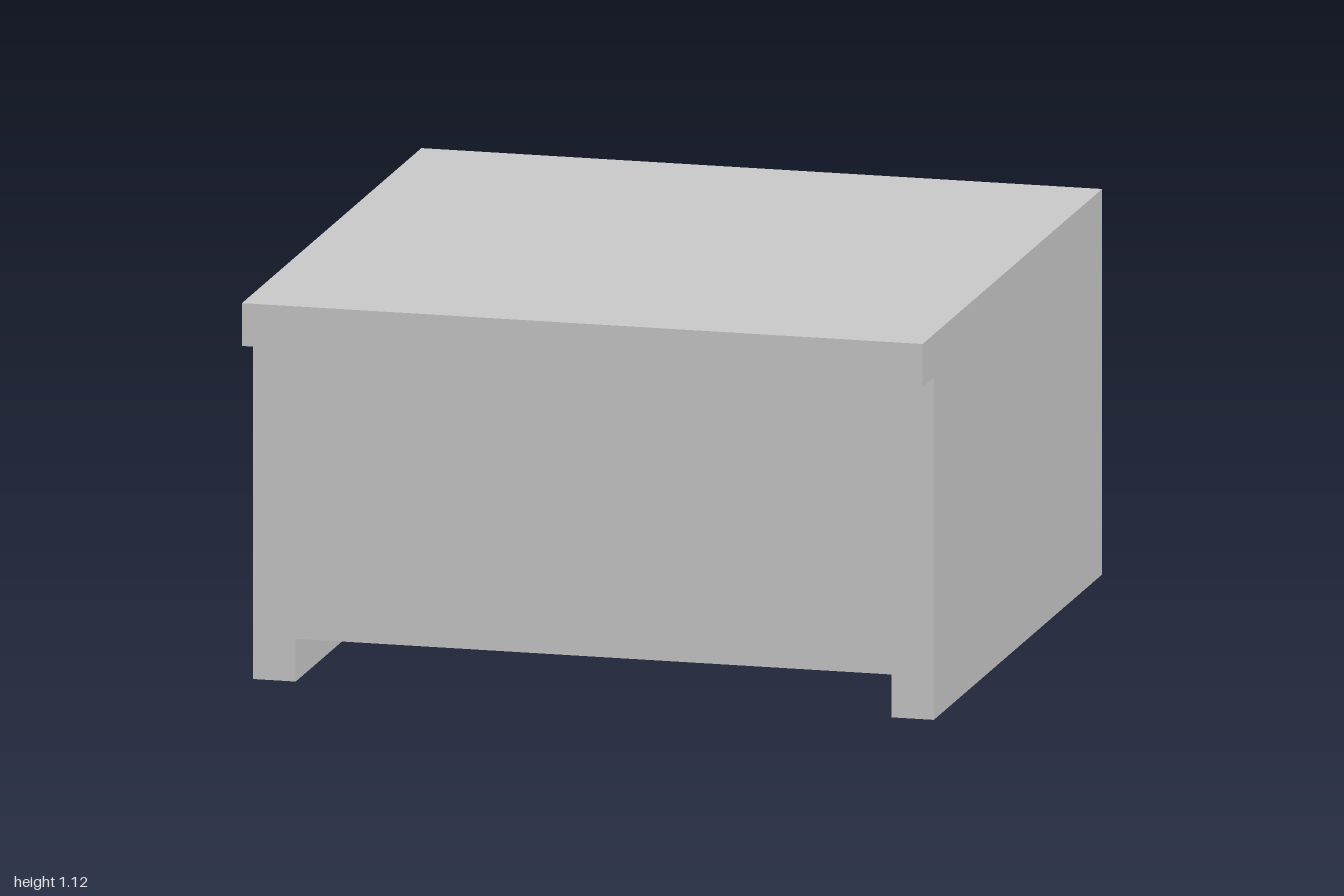
import * as THREE from 'three';

export function createModel() {
  const group = new THREE.Group();
  group.name = 'cabinet';
  const material = new THREE.MeshStandardMaterial({ color: 0xcccccc, flatShading: true });

  const half = 1;          // half width and half depth
  const thick = 0.125;     // top thickness, runner size and front overhang
  const bodyTop = 1;
  const bodyDepth = 2 * half - thick;

  // Body with a runner along each side, extruded from back to front
  const inner = half - thick;
  const profile = new THREE.Shape([
    [-half, 0], [-inner, 0], [-inner, thick], [inner, thick],
    [inner, 0], [half, 0], [half, bodyTop], [-half, bodyTop],
  ].map(([x, y]) => new THREE.Vector2(x, y)));
  const body = new THREE.Mesh(
    new THREE.ExtrudeGeometry(profile, { depth: bodyDepth, bevelEnabled: false }), material);
  body.name = 'bodyWithRunners';
  body.position.z = -half;
  group.add(body);

  // Top slab, overhanging the front
  const top = new THREE.Mesh(new THREE.BoxGeometry(2 * half, thick, 2 * half), material);
  top.name = 'topSlab';
  top.position.y = bodyTop + thick / 2;
  group.add(top);

  return group;
}
